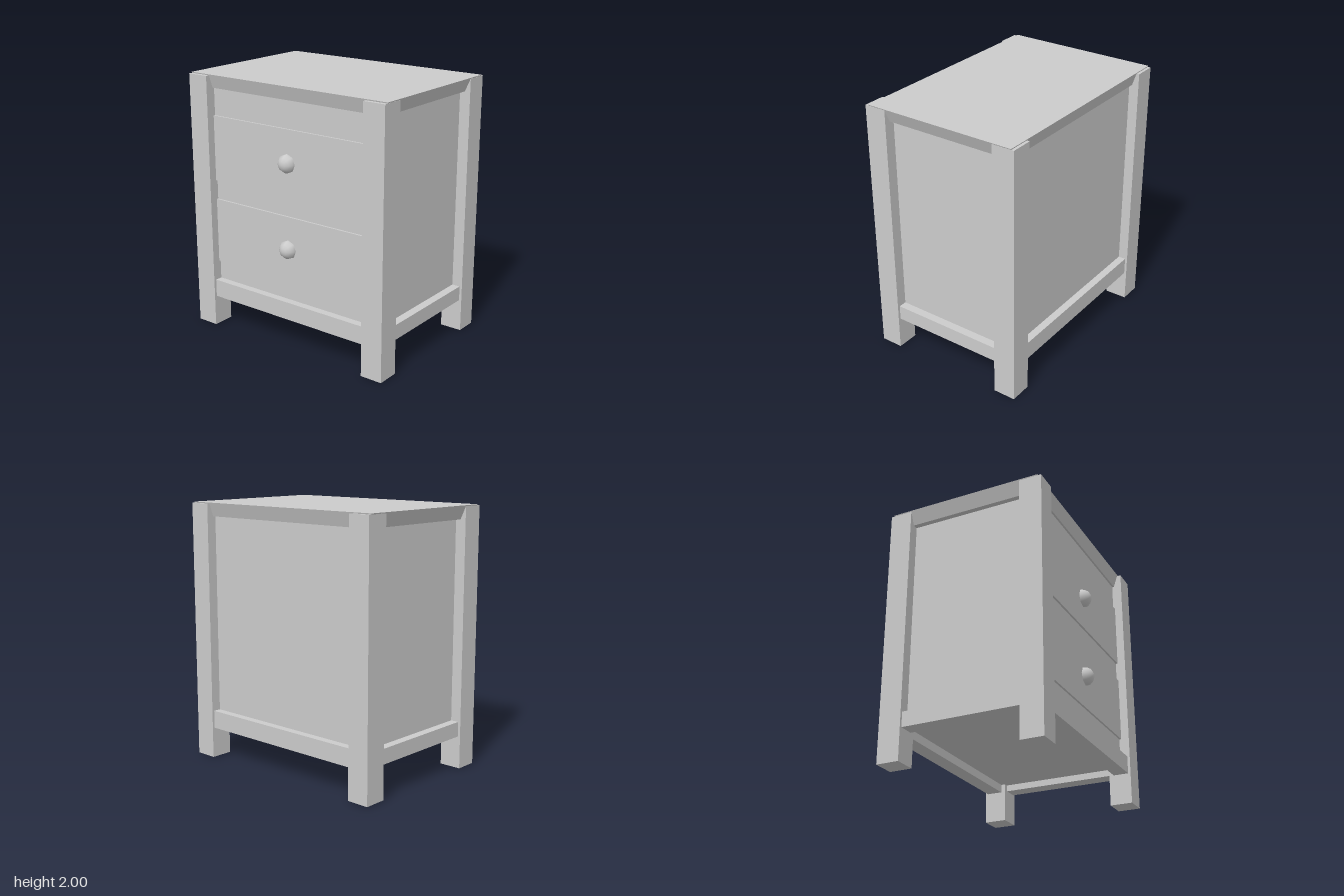
import * as THREE from 'three';

const material = new THREE.MeshStandardMaterial({ color: 0xcccccc });

export function createModel() {
  const model = new THREE.Group();

  const add = (name, geometry, x, y, z) => {
    const mesh = new THREE.Mesh(geometry, material);
    mesh.name = name;
    mesh.position.set(x, y, z);
    model.add(mesh);
    return mesh;
  };
  // Box given by its lower and upper limits on each axis
  const block = (name, x0, x1, y0, y1, z0, z1) =>
    add(name, new THREE.BoxGeometry(x1 - x0, y1 - y0, z1 - z0),
      (x0 + x1) / 2, (y0 + y1) / 2, (z0 + z1) / 2);

  // Carcass: recessed panels and raised floor
  block('cabinetBody', -0.8, 0.8, 0.3, 1.94, -0.553, 0.55);

  // Square corner posts
  for (const [sx, side] of [[1, 'Left'], [-1, 'Right']]) {
    for (const [sz, end] of [[1, 'front'], [-1, 'back']]) {
      add(`${end}${side}Leg`, new THREE.BoxGeometry(0.174, 1.992, 0.174),
        sx * 0.798, 0.996, sz * 0.542 - 0.001);
    }
  }

  // Lower rails, the side pair slightly slimmer than the front and back pair
  block('frontRail', -0.72, 0.72, 0.237, 0.375, 0.49, 0.608);
  block('backRail', -0.72, 0.72, 0.237, 0.375, -0.612, -0.49);
  block('leftRail', 0.745, 0.865, 0.25, 0.365, -0.47, 0.47);
  block('rightRail', -0.865, -0.745, 0.25, 0.365, -0.47, 0.47);

  // Top board with undercut edges
  const top = new THREE.BoxGeometry(1.774, 0.105, 1.21).toNonIndexed();
  const p = top.attributes.position;
  for (let i = 0; i < p.count; i++) {
    if (p.getY(i) < 0) {
      p.setX(i, Math.sign(p.getX(i)) * 0.84);
      p.setZ(i, Math.sign(p.getZ(i)) * 0.57);
    }
  }
  top.computeVertexNormals();
  add('topBoard', top, 0, 1.9475, -0.005);

  // Drawer fronts with round knobs
  for (const [name, y] of [['upper', 1.4325], ['lower', 0.7775]]) {
    block(`${name}DrawerFront`, -0.72, 0.72, y - 0.2525, y + 0.2525, 0.5, 0.565);
    const knob = add(`${name}Knob`, new THREE.SphereGeometry(0.074, 8, 8), 0, y, 0.556);
    knob.rotation.x = Math.PI / 2;
  }

  return model;
}
